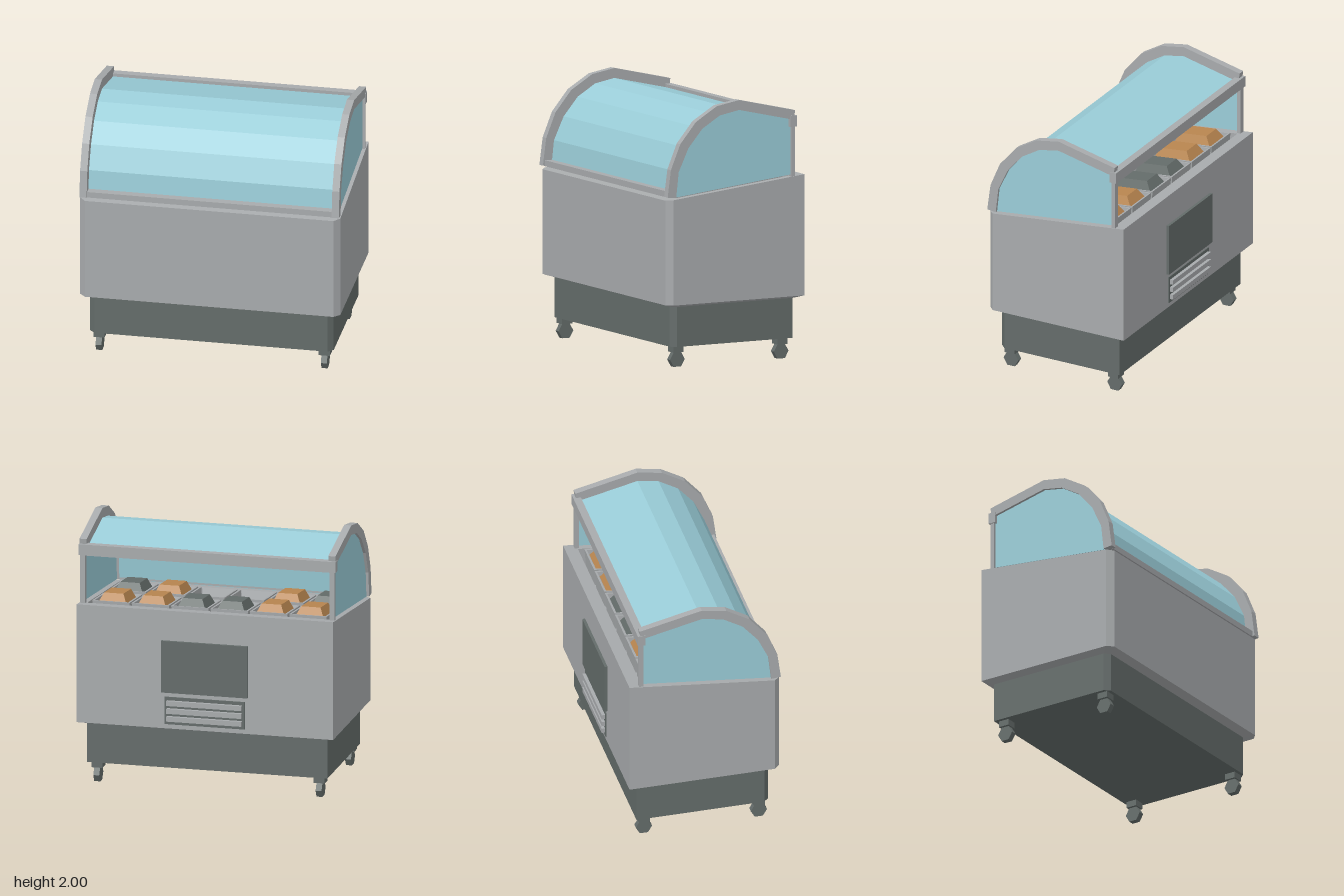
import * as THREE from 'three';

const mat = (name, color, side = THREE.FrontSide) => {
  const m = new THREE.MeshStandardMaterial({ color, side, flatShading: true });
  m.name = name;
  return m;
};

// Height of the sloping cabinet top at depth z
const SLOPE = 0.125 / 1.17;
const topY = (z) => 1.275 + (0.6 - z) * SLOPE;

// Horizontal outline with chamfered front corners, counterclockwise from above
function ring(x, zf, zb, c, y) {
  const pts = [[x, zb], [-x, zb], [-x, zf - c], [-x + c, zf], [x - c, zf], [x, zf - c]];
  return pts.map(([px, pz]) => [px, typeof y === 'function' ? y(pz) : y, pz]);
}

// Skin a stack of rings, then close the last one and optionally the first
function loft(rings, capStart = true) {
  const pos = [];
  const tri = (a, b, c) => pos.push(...a, ...b, ...c);
  for (let r = 0; r < rings.length - 1; r++) {
    const A = rings[r], B = rings[r + 1];
    for (let i = 0; i < A.length; i++) {
      const j = (i + 1) % A.length;
      tri(A[i], A[j], B[j]);
      tri(A[i], B[j], B[i]);
    }
  }
  const last = rings[rings.length - 1], first = rings[0];
  for (let i = 1; i < last.length - 1; i++) {
    tri(last[0], last[i], last[i + 1]);
    if (capStart) tri(first[0], first[i + 1], first[i]);
  }
  const g = new THREE.BufferGeometry();
  g.setAttribute('position', new THREE.Float32BufferAttribute(pos, 3));
  g.computeVertexNormals();
  return g;
}

// Extrude a (z, y) profile along x, centred on x = 0
function profile(pts, width) {
  const shape = new THREE.Shape(pts.map(([z, y]) => new THREE.Vector2(z, y)));
  const g = new THREE.ExtrudeGeometry(shape, { depth: width, bevelEnabled: false });
  return g.translate(0, 0, -width / 2).rotateY(-Math.PI / 2);
}

export function createModel() {
  const root = new THREE.Group();
  root.name = 'displayFreezer';
  const steel = mat('steel', 0xa8abad);
  const dark = mat('darkGrey', 0x646c6a);
  const glass = mat('glass', 0x9acdd8, THREE.DoubleSide);
  const food = mat('caramel', 0xb98650);

  const add = (name, geo, material, x = 0, y = 0, z = 0, parent = root) => {
    const m = new THREE.Mesh(geo, material);
    m.name = name;
    m.position.set(x, y, z);
    parent.add(m);
    return m;
  };
  // Box given by its limits
  const box = (name, material, x0, x1, y0, y1, z0, z1) =>
    add(name, new THREE.BoxGeometry(x1 - x0, y1 - y0, z1 - z0), material,
      (x0 + x1) / 2, (y0 + y1) / 2, (z0 + z1) / 2);

  // Base and cabinet with an open well
  add('base', loft([ring(0.93, 0.53, -0.5, 0.04, 0.157), ring(0.93, 0.53, -0.5, 0.04, 0.465)]), dark);
  add('cabinet', loft([
    ring(0.93, 0.53, -0.5, 0.04, 0.46),
    ring(0.993, 0.6, -0.57, 0.045, 0.482),
    ring(0.993, 0.6, -0.57, 0.045, topY),
    ring(0.935, 0.5, -0.47, 0.01, topY),
    ring(0.935, 0.5, -0.47, 0.01, (z) => topY(z) - 0.16),
  ]), steel);

  // Casters
  for (const x of [-0.86, 0.86]) {
    for (const z of [0.46, -0.43]) {
      box('casterPlate', dark, x - 0.043, x + 0.043, 0.11, 0.158, z - 0.043, z + 0.043);
      const wheel = new THREE.CylinderGeometry(0.063, 0.063, 0.046, 6).rotateZ(Math.PI / 2);
      add('casterWheel', wheel, dark, x, 0.055, z);
    }
  }

  // Trays in two rows; F = caramel, D = dark, E = empty
  const rows = [[0.255, 'DFEEFD'], [-0.235, 'FFDDFF']];
  const trayGeo = loft([
    ring(0.13, 0.17, -0.17, 0.005, -0.13),
    ring(0.145, 0.195, -0.195, 0.005, 0.014),
    ring(0.13, 0.18, -0.18, 0.005, 0.014),
    ring(0.115, 0.16, -0.16, 0.005, -0.11),
  ]);
  const rect = (x, z, y) => [[x, y, -z], [-x, y, -z], [-x, y, z], [x, y, z]];
  const foodGeo = loft([rect(0.115, 0.16, -0.02), rect(0.075, 0.115, 0.065)]);
  for (const [z, fill] of rows) {
    [...fill].forEach((kind, i) => {
      const tray = new THREE.Group();
      tray.name = 'tray';
      tray.position.set((2.5 - i) * 0.305, topY(z), z);
      tray.rotation.x = Math.atan(SLOPE);
      root.add(tray);
      add('trayPan', trayGeo, steel, 0, 0, 0, tray);
      if (kind !== 'E') add('trayFilling', foodGeo, kind === 'F' ? food : dark, 0, 0, 0, tray);
    });
  }

  // Curved end frames with side panes
  const outer = [[0.603, 1.303], [0.575, 1.51], [0.495, 1.7], [0.36, 1.86], [0.18, 1.967], [-0.01, 2], [-0.49, 1.89]];
  const inner = [[0.53, 1.295], [0.508, 1.49], [0.425, 1.665], [0.305, 1.805], [0.155, 1.895], [-0.01, 1.925], [-0.46, 1.822]];
  const frameGeo = profile([...outer, [-0.48, 1.82], ...[...inner].reverse()], 0.055);
  const paneGeo = profile([...inner, [-0.46, 1.402]], 0.008);
  for (const s of [-1, 1]) {
    add('endFrame', frameGeo, steel, s * 0.9625);
    add('sidePane', paneGeo, glass, s * 0.965);
    box('rearPost', steel, s * 0.965 - 0.02, s * 0.965 + 0.02, 1.385, 1.78, -0.493, -0.46);
  }

  // Curved canopy glass and its rails
  const innerSkin = inner.map(([z, y]) => [z * 0.985, 1.295 + (y - 1.295) * 0.985]);
  add('canopyGlass', profile([...inner, ...innerSkin.reverse()], 1.88), glass);
  box('frontRail', steel, -0.94, 0.94, 1.298, 1.343, 0.52, 0.585);
  box('rearRail', steel, -0.994, 0.994, 1.765, 1.85, -0.505, -0.447);

  // Rear access panel and vent
  box('rearPanel', dark, -0.335, 0.335, 0.765, 1.167, -0.592, -0.56);
  box('ventBack', dark, -0.31, 0.31, 0.517, 0.73, -0.577, -0.56);
  for (const y of [0.563, 0.624, 0.685]) {
    box('ventSlat', steel, -0.29, 0.29, y - 0.019, y + 0.019, -0.603, -0.57);
  }
  return root;
}
